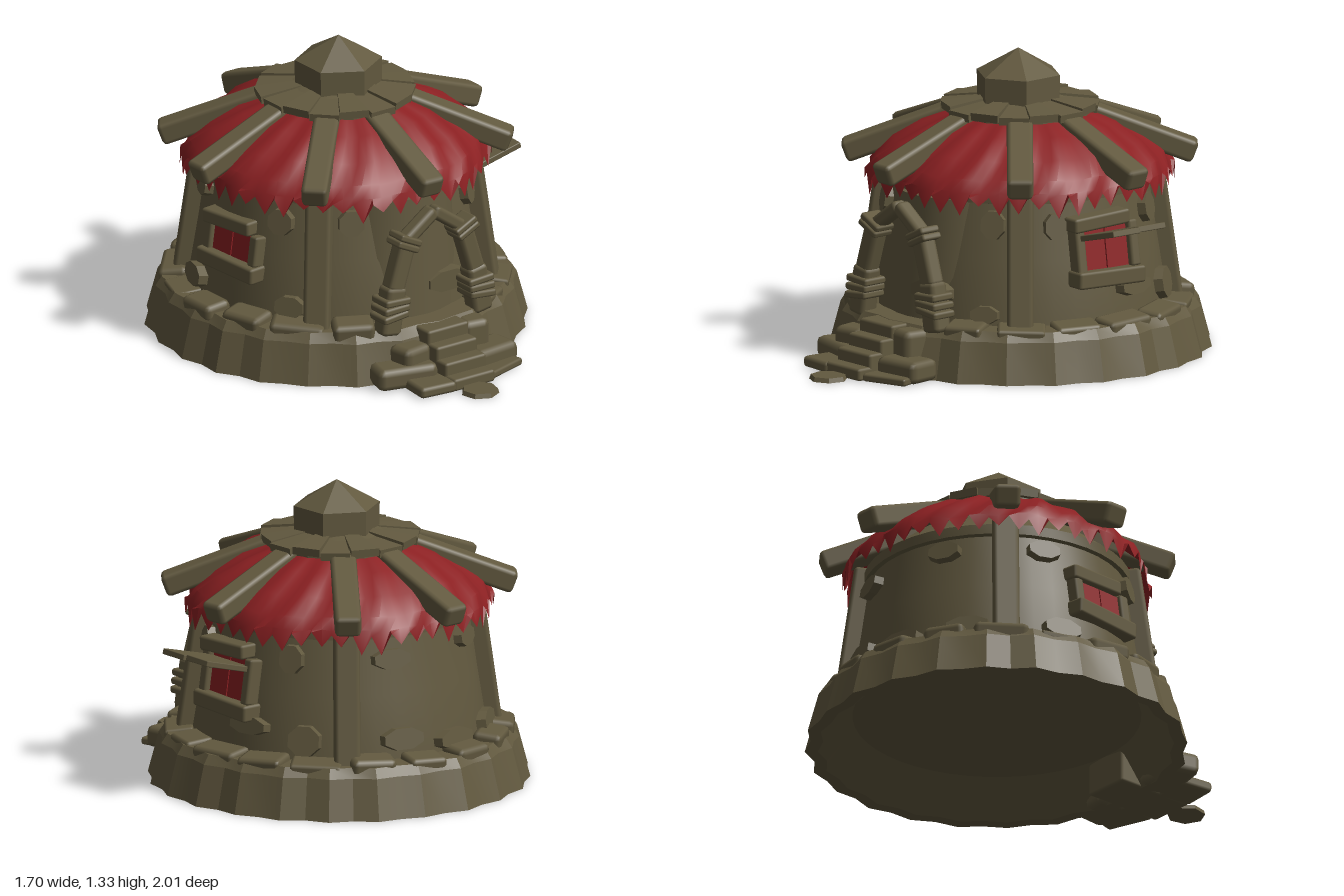
import * as THREE from 'three';
import { toCreasedNormals } from 'three/addons/utils/BufferGeometryUtils.js';
import { RoundedBoxGeometry } from 'three/addons/geometries/RoundedBoxGeometry.js';

const V = (x, y, z) => new THREE.Vector3(x, y, z);
const polar = (t, r, y) => V(r * Math.sin(t), y, r * Math.cos(t));

export function createModel() {
  const brown = new THREE.MeshStandardMaterial({ color: 0x62593f, name: 'weatheredBrown' });
  const red = new THREE.MeshStandardMaterial({ color: 0x8b2022, name: 'redCloth', side: THREE.DoubleSide });
  let seed = 7;
  const rnd = () => (seed = (seed * 16807) % 2147483647) / 2147483647;

  const model = new THREE.Group();
  model.name = 'roundHut';
  const hut = new THREE.Group();
  hut.name = 'hut';
  hut.position.set(-0.01, 0, -0.17);
  model.add(hut);

  const add = (parent, name, geo, mat = brown, x = 0, y = 0, z = 0) => {
    const m = new THREE.Mesh(geo, mat);
    m.name = name;
    m.position.set(x, y, z);
    parent.add(m);
    return m;
  };
  const block = (w, h, d, b = 0.012) => new RoundedBoxGeometry(w, h, d, 1, Math.min(b, w / 3, h / 3, d / 3));
  // Squared timber running from a to b, aimed before it joins its parent
  const bar = (parent, name, a, b, w, h, bevel = 0.02) => {
    const m = new THREE.Mesh(block(w, h, a.distanceTo(b), bevel), brown);
    m.name = name;
    m.position.copy(a).add(b).multiplyScalar(0.5);
    m.lookAt(b);
    parent.add(m);
  };
  const lathe = (pts, seg) => new THREE.LatheGeometry(pts.map(p => new THREE.Vector2(...p)), seg);

  // Faceted stone base, hollow underneath, with uneven blocks
  const base = lathe([[0.63, 0.15], [0.78, 0], [0.838, 0], [0.79, 0.18], [0.762, 0.222], [0.58, 0.225]], 48);
  const bp = base.attributes.position;
  const jitter = Array.from({ length: 48 }, (_, i) => (i % 2 ? 0.965 : 0.99) + rnd() * 0.016);
  for (let i = 0; i < bp.count; i++) {
    const k = jitter[Math.floor(i / 6) % 48];
    if (i % 6 < 1 || i % 6 > 4) continue;
    bp.setX(i, bp.getX(i) * k);
    bp.setZ(i, bp.getZ(i) * k);
  }
  add(hut, 'stoneBase', toCreasedNormals(base, 0.3), brown, 0.002, 0, 0);

  // Tapered wall with floor and eaves ring
  add(hut, 'wall', toCreasedNormals(lathe([[0, 0.15], [0.645, 0.15], [0.645, 0.22], [0.6, 0.5], [0.565, 0.75],
    [0.585, 0.755], [0.585, 0.8], [0.3, 1.02], [0, 1.02]], 40), 0.5));

  // Flat stones lying on the base rim
  for (let i = 0; i < 18; i++) {
    const t = i / 18 * Math.PI * 2 + 0.17;
    if (Math.cos(t) > 0.93) continue;
    const p = polar(t, 0.685 + rnd() * 0.015, 0.215);
    const s = add(hut, 'rimStone', block(0.17 + rnd() * 0.08, 0.03 + rnd() * 0.07, 0.13, 0.025), brown, p.x, p.y, p.z);
    s.rotation.set(0.12, t + (rnd() - 0.5) * 0.2, (rnd() - 0.5) * 0.12, 'YXZ');
  }

  // Flat stones set in the wall: angle, height, width, tallness
  const stoneGeo = toCreasedNormals(new THREE.CylinderGeometry(0.5, 0.54, 1, 8).rotateX(Math.PI / 2).rotateZ(Math.PI / 8), 0.5);
  const wallStones = [[0.66, 0.66, 0.11, 0.13], [-0.52, 0.67, 0.12, 0.12], [1.75, 0.35, 0.2, 0.08], [2.17, 0.31, 0.15, 0.14],
    [2.05, 0.66, 0.11, 0.13], [1.12, 0.65, 0.1, 0.12], [2.8, 0.66, 0.18, 0.09], [2.85, 0.31, 0.2, 0.1],
    [-2.7, 0.68, 0.15, 0.09], [-2.5, 0.28, 0.2, 0.09], [-1.95, 0.68, 0.15, 0.09], [-1.85, 0.29, 0.18, 0.1],
    [-1.05, 0.66, 0.12, 0.12], [-3.0, 0.27, 0.22, 0.09], [0.62, 0.27, 0.13, 0.08], [-0.95, 0.29, 0.14, 0.1]];
  for (const [t, y, w, h] of wallStones) {
    const p = polar(t, 0.645 - (y - 0.22) * 0.155, y);
    const s = add(hut, 'wallStone', stoneGeo, brown, p.x, p.y, p.z);
    s.scale.set(w, h, 0.07);
    s.rotation.set(-0.15, t, 0, 'YXZ');
  }

  // Roof beams, with posts under the diagonal ones
  [-0.05, 0.86, 1.6, 2.46, 3.14, -2.24, -1.55, -0.76].forEach((t, i) => {
    bar(hut, 'roofBeam', polar(t, 0.26, 1.045), polar(t, 0.765, 0.855), 0.115, 0.1);
    if (i % 2) bar(hut, 'wallPost', polar(t, 0.665, 0.19), polar(t, 0.575, 0.83), 0.115, 0.1);
  });

  // Cloth roof, puffed out between the beams, with a torn hem
  const N = 96, rows = [[0.28, 1.065], [0.42, 1.01], [0.54, 0.935], [0.62, 0.865], [0.645, 0.815], [0.652, 0.785]];
  const pos = [], idx = [];
  rows.forEach(([r, y], j) => {
    for (let i = 0; i < N; i++) {
      const t = i / N * Math.PI * 2, puff = Math.abs(Math.sin(4 * (t + 0.05)));
      const hem = j === 5 ? (i % 2 ? -0.02 - rnd() * 0.045 : 0.015 + rnd() * 0.015) - 0.015 * puff : 0;
      const fold = 0.006 * Math.sin(i * 1.3 + j * 1.7) * (j ? 1 : 0);
      const p = polar(t, r + j * 0.006 * puff + fold, y + fold + hem);
      pos.push(p.x, p.y, p.z);
      if (j === 5) continue;
      const a = j * N + i, b = j * N + (i + 1) % N;
      idx.push(a, a + N, b, b, a + N, b + N);
    }
  });
  const cloth = new THREE.BufferGeometry();
  cloth.setAttribute('position', new THREE.Float32BufferAttribute(pos, 3));
  cloth.setIndex(idx);
  add(hut, 'clothRoof', toCreasedNormals(cloth, 0.6), red);

  // Ring of shingle planks around the crown
  for (let i = 0; i < 16; i++) {
    const o = 0.34 + rnd() * 0.015, a = 0.065, b = 0.028;
    const shape = new THREE.Shape([[-b, 0.14], [b, 0.14], [a, o], [-a, o]].map(p => new THREE.Vector2(...p)));
    const g = new THREE.ExtrudeGeometry(shape, { depth: 0.035, bevelEnabled: false }).rotateX(Math.PI / 2).rotateX(0.12);
    add(hut, 'crownPlank', g, brown, 0, 1.124 + (i % 2) * 0.008 + rnd() * 0.005, 0).rotation.y = i / 16 * Math.PI * 2;
  }
  add(hut, 'crownCone', toCreasedNormals(lathe([[0, 1.03], [0.325, 1.05], [0.325, 1.065], [0.15, 1.115]], 16), 0.3));
  // Six-sided crown with a pointed top
  add(hut, 'crown', toCreasedNormals(lathe([[0.19, 1.08], [0.192, 1.215], [0, 1.325]], 6), 0.3), brown, 0.005, 0, 0.012);

  // Framed windows with red curtains
  const makeWindow = (name, t, top, inset) => {
    const w = new THREE.Group();
    w.name = name;
    w.rotation.y = t;
    hut.add(w);
    const h = top - 0.48, mid = 0.45 + h / 2;
    add(w, 'sill', block(0.36, 0.075, 0.1), brown, 0, 0.415, 0.625 - inset).rotation.z = -0.03;
    add(w, 'lintel', block(0.3, 0.065, 0.09), brown, -0.03, top, 0.595 - inset).rotation.z = 0.04;
    for (const s of [-1, 1]) {
      add(w, 'jamb', block(0.05, h + 0.02, 0.07), brown, s * 0.145, mid, 0.605 - inset).rotation.x = -0.15;
      add(w, 'curtain', new THREE.BoxGeometry(0.114, h, 0.008), red, s * 0.06, mid, 0.612 - inset / 2).rotation.x = -0.15;
    }
    return w;
  };
  makeWindow('plainWindow', -1.47, 0.6, 0.012);
  const open = makeWindow('awningWindow', 1.51, 0.665, 0);
  for (const s of [-1, 1]) {
    bar(open, 'awningBoard', V(s * 0.074, 0.595, 0.6), V(s * 0.074, 0.665, 0.86 - s * 0.006), 0.148, 0.026, 0.004);
  }

  // Rounded porch wall behind the arch
  add(model, 'porchWall', toCreasedNormals(new THREE.CylinderGeometry(0.31, 0.35, 0.57, 28), 0.6), brown, 0, 0.475, 0.14);
  add(model, 'porchStone', stoneGeo, brown, 0.12, 0.35, 0.45).scale.set(0.22, 0.1, 0.07);

  // Bent timber arch with rope ties
  const arch = new THREE.Group();
  arch.name = 'doorArch';
  model.add(arch);
  for (const s of [-1, 1]) {
    const p = [[0.25, 0.2], [0.215, 0.42], [0.145, 0.635]].map(([x, y]) => V(s * x, y, 0.53));
    bar(arch, 'archLeg', p[0], p[1], 0.09, 0.1);
    bar(arch, 'archLeg', p[1].clone().add(V(s * 0.004, -0.02, 0)), p[2], 0.08, 0.085);
    bar(arch, 'archTop', V(s * 0.18, 0.595, 0.525), V(s * -0.005, 0.725, 0.525), 0.075, 0.06);
    for (let i = 0; i < 3; i++) {
      add(arch, 'lowerTie', block(0.135, 0.033, 0.12), brown, s * (0.235 - i * 0.005), 0.29 + i * 0.034, 0.53).rotation.z = s * (-0.1 + i * 0.08);
    }
    for (let i = 0; i < 2; i++) {
      add(arch, 'upperTie', block(0.12, 0.03, 0.105), brown, s * (0.163 - i * 0.014), 0.6 + i * 0.028, 0.53).rotation.z = s * 0.45;
    }
  }

  // Front steps
  for (let i = 0; i < 4; i++) {
    const h = 0.22 - i * 0.055, z = 0.66 + i * 0.064;
    add(model, 'step', block(0.22, h, 0.2), brown, -0.01, h / 2, z - 0.1);
  }
  // Rough stones beside the steps: x, z, width, height, depth, turn
  const flank = [[-0.24, 0.64, 0.28, 0.1, 0.15, -0.25], [-0.19, 0.62, 0.15, 0.17, 0.13, 0.15], [-0.19, 0.76, 0.18, 0.05, 0.18, -0.1],
    [0.2, 0.66, 0.23, 0.1, 0.16, 0.1], [0.155, 0.6, 0.13, 0.21, 0.13, -0.15], [0.18, 0.72, 0.22, 0.035, 0.17, 0.3]];
  for (const [x, z, w, h, d, turn] of flank) {
    add(model, 'stepStone', block(w, h, d, 0.03), brown, x, h / 2, z).rotation.y = turn;
  }
  add(model, 'frontSlab', toCreasedNormals(new THREE.CylinderGeometry(0.078, 0.085, 0.02, 7), 0.5), brown, -0.03, 0.01, 0.915);
  return model;
}
